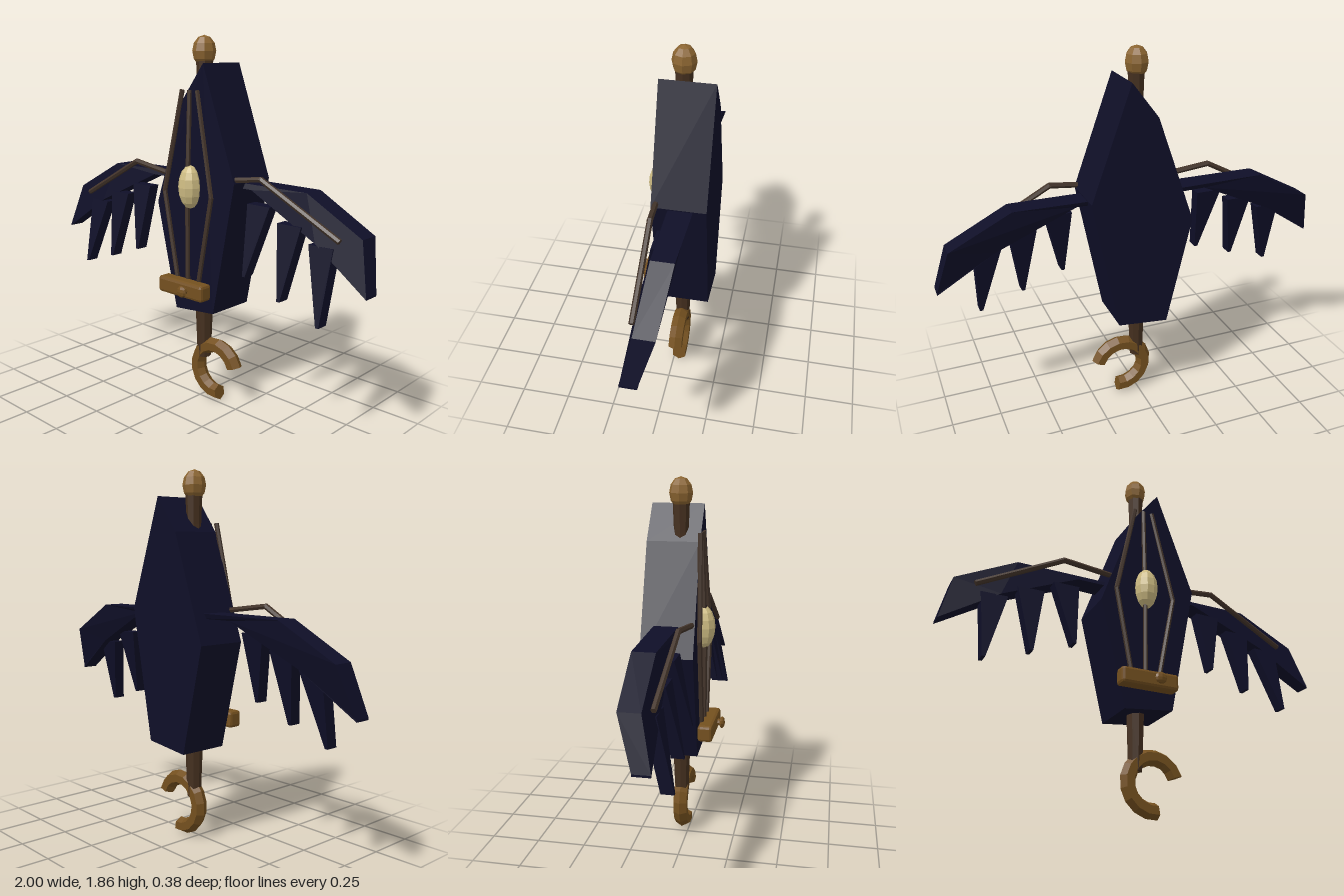
import * as THREE from 'three';
import { RoundedBoxGeometry } from 'three/addons/geometries/RoundedBoxGeometry.js';

const mat = (name, color) => {
  const m = new THREE.MeshStandardMaterial({ color, flatShading: true });
  m.name = name;
  return m;
};

export function createModel() {
  const model = new THREE.Group();
  const navy = mat('navy cloth', 0x0f0f28);
  const wood = mat('dark wood', 0x45301f);
  const cane = mat('rib brown', 0x43342a);
  const brass = mat('aged brass', 0x74501f);
  const gold = mat('finial brass', 0x8a6430);
  const ivory = mat('ivory', 0xcdbb82);

  const add = (name, geo, m, x = 0, y = 0, z = 0, parent = model) => {
    const mesh = new THREE.Mesh(geo, m);
    mesh.name = name;
    mesh.position.set(x, y, z);
    parent.add(mesh);
    return mesh;
  };
  // Thin rods joined end to end through a list of points
  const rods = (name, pts, r, parent = model) => {
    const v = pts.map((p) => new THREE.Vector3(...p));
    for (let i = 0; i < v.length - 1; i++) {
      const d = v[i + 1].clone().sub(v[i]);
      const c = v[i].clone().add(v[i + 1]).multiplyScalar(0.5);
      const rod = add(name, new THREE.CylinderGeometry(r, r, d.length() + r * 0.5, 6), cane, c.x, c.y, c.z, parent);
      rod.quaternion.setFromUnitVectors(new THREE.Vector3(0, 1, 0), d.normalize());
    }
  };
  const extrude = (pts, depth) => new THREE.ExtrudeGeometry(
    new THREE.Shape(pts.map((p) => new THREE.Vector2(...p))), { depth, bevelEnabled: false });

  // Folded cloth body: irregular six-sided slab
  add('body', extrude([
    [0.085, 1.73], [-0.045, 1.56], [-0.23, 1.03], [-0.10, 0.485], [0.155, 0.51], [0.285, 1.18],
  ], 0.26), navy, 0, 0, -0.19);

  // Shaft, finial and hooked handle
  const shaft = [[0, 0.22], [0.035, 0.22], [0.045, 0.5], [0.036, 1.6], [0.042, 1.75], [0, 1.75]];
  add('shaft', new THREE.LatheGeometry(shaft.map((p) => new THREE.Vector2(...p)), 8), wood, 0.003, 0, -0.03);
  add('finial', new THREE.SphereGeometry(0.058, 8, 6).scale(1, 1.3, 1), gold, 0, 1.785, -0.03);

  const R = 0.128, tube = 0.04, arc = 4.55;
  const hook = new THREE.Group();
  hook.name = 'hookHandle';
  hook.position.set(0.092, 0.168, -0.03);
  hook.rotation.z = 0.32;
  model.add(hook);
  add('hook', new THREE.TorusGeometry(R, tube, 6, 12, arc), brass, 0, 0, 0, hook);
  for (const [a, turn] of [[0, Math.PI / 2], [arc, -Math.PI / 2]]) {
    const cap = new THREE.CircleGeometry(tube, 6).rotateX(turn).translate(R, 0, 0).rotateZ(a);
    add('hookEnd', cap, brass, 0, 0, 0, hook);
  }

  // Ribs over the front of the body
  for (const s of [-1, 0, 1]) {
    rods('bodyRib', [[s * 0.05, 1.6, 0.072], [s * 0.158, 1.1, 0.09], [s * 0.07, 0.64, 0.088]], 0.012);
  }

  // Oval gem, clasp bar and its button
  add('gem', new THREE.SphereGeometry(0.06, 10, 8).scale(1, 1.8, 1), ivory, 0.01, 1.135, 0.08);
  add('claspBar', new RoundedBoxGeometry(0.3, 0.085, 0.075, 1, 0.015), brass, 0, 0.625, 0.115);
  add('claspNeck', new THREE.CylinderGeometry(0.018, 0.018, 0.04, 8).rotateX(Math.PI / 2), brass, 0.04, 0.625, 0.16);
  add('claspButton', new THREE.SphereGeometry(0.03, 8, 6).scale(1, 1, 0.5), brass, 0.04, 0.625, 0.175);

  // Wing stations: top x, y, back z, front z; then bottom x, y, back z, front z
  const stations = [
    [0.15, 1.175, -0.13, -0.01, 0.15, 1.15, -0.12, 0.00],
    [0.64, 1.175, -0.117, -0.01, 0.33, 1.15, -0.11, 0.00],
    [0.94, 1.015, -0.10, 0.00, 0.72, 0.965, -0.07, 0.03],
    [1.00, 0.785, -0.03, 0.05, 1.00, 0.775, -0.03, 0.05],
  ];
  const wingGeometry = (s) => {
    const pos = [], idx = [];
    for (const [tx, ty, tb, tf, bx, by, bb, bf] of stations) {
      pos.push(s * tx, ty, tb, s * tx, ty, tf, s * bx, by, bf, s * bx, by, bb);
    }
    const quad = (a, b, c, d) => (s > 0 ? idx.push(a, b, c, a, c, d) : idx.push(a, c, b, a, d, c));
    for (let i = 0; i < stations.length - 1; i++) {
      for (let j = 0; j < 4; j++) {
        const k = (j + 1) % 4, o = i * 4;
        quad(o + j, o + k, o + 4 + k, o + 4 + j);
      }
    }
    const e = (stations.length - 1) * 4;
    quad(3, 2, 1, 0);
    quad(e, e + 1, e + 2, e + 3);
    const g = new THREE.BufferGeometry();
    g.setAttribute('position', new THREE.Float32BufferAttribute(pos, 3));
    g.setIndex(idx);
    const flat = g.toNonIndexed();
    flat.computeVertexNormals();
    return flat;
  };

  // Feathers: inner x, outer x, top y, tip x, tip y
  const feathers = [
    [0.333, 0.465, 1.09, 0.37, 0.755],
    [0.51, 0.643, 1.025, 0.577, 0.68],
    [0.685, 0.815, 0.957, 0.792, 0.61],
  ];
  for (const s of [-1, 1]) {
    const side = new THREE.Group();
    side.name = s > 0 ? 'leftWing' : 'rightWing';
    model.add(side);
    add('wing', wingGeometry(s), navy, 0, 0, 0, side);
    rods('wingBone', [[s * 0.15, 1.18, 0.055], [s * 0.42, 1.215, 0.04], [s * 0.84, 0.995, 0.025]], 0.014, side);
    for (const [x0, x1, top, tx, ty] of feathers) {
      const g = extrude([[s * x0, top], [s * x1, top], [s * (tx + 0.008), ty], [s * (tx - 0.008), ty]], 0.06);
      // Lean the tip forward
      const p = g.attributes.position;
      for (let i = 0; i < p.count; i++) p.setZ(i, p.getZ(i) + 0.2 * (top - p.getY(i)));
      g.computeVertexNormals();
      add('feather', g, navy, 0, 0, -0.03, side);
    }
  }
  return model;
}
